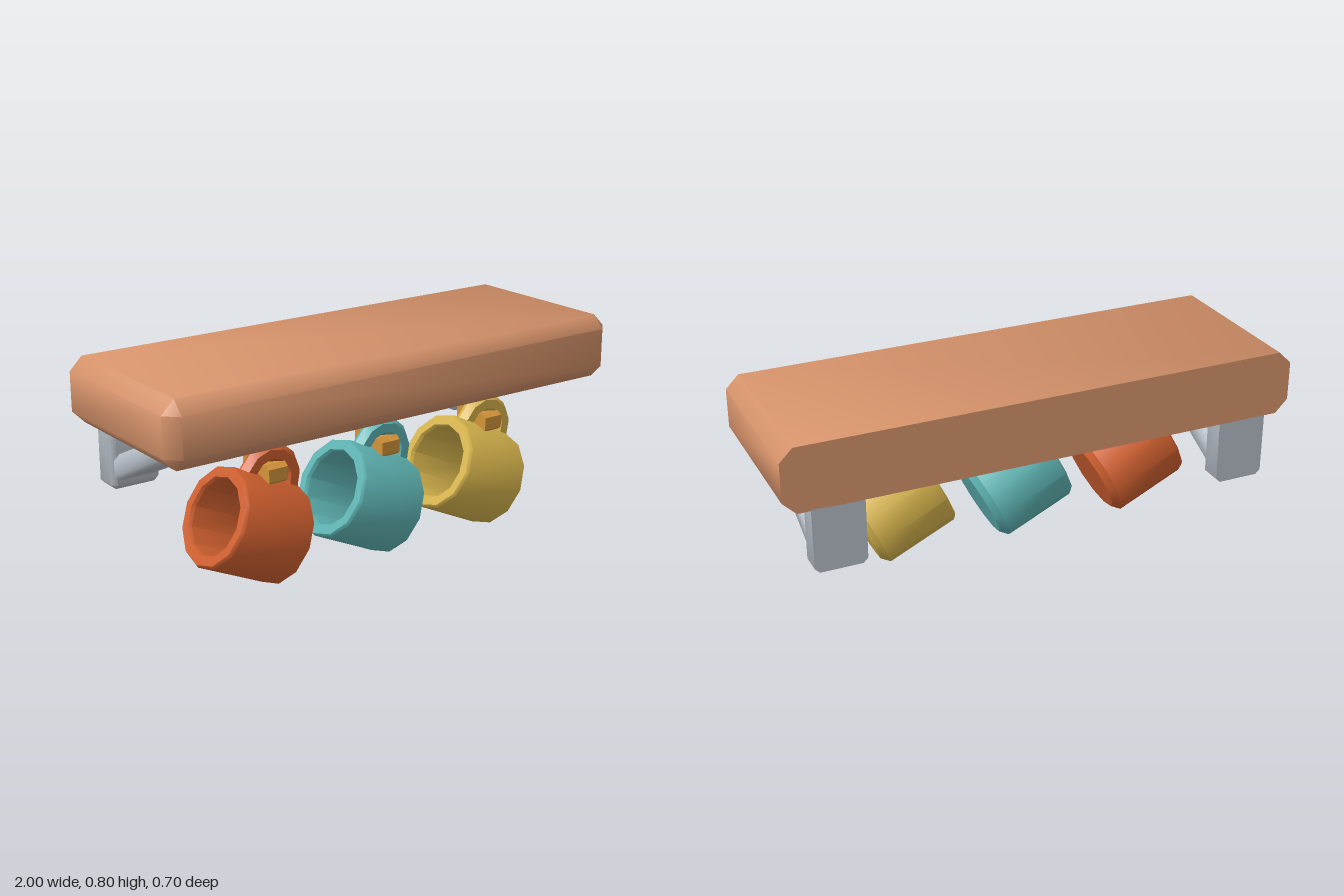
import * as THREE from 'three';
import { toCreasedNormals } from 'three/addons/utils/BufferGeometryUtils.js';
import { ConvexGeometry } from 'three/addons/geometries/ConvexGeometry.js';

const paint = (name, color) => {
  const m = new THREE.MeshStandardMaterial({ color });
  m.name = name;
  return m;
};

function addMesh(parent, name, geometry, material) {
  const mesh = new THREE.Mesh(geometry, material);
  mesh.name = name;
  parent.add(mesh);
  return mesh;
}

// Box with bevelled edges; sides listed in flush (such as '-z') stay square
function chamferBox(min, max, c, flush) {
  const points = [];
  for (let corner = 0; corner < 8; corner++) {
    for (let full = 0; full < 3; full++) {
      const p = [0, 1, 2].map((k) => {
        const high = (corner >> k) & 1;
        const square = k === full || flush.includes((high ? '+' : '-') + 'xyz'[k]);
        const inset = square ? 0 : c;
        return high ? max[k] - inset : min[k] + inset;
      });
      points.push(new THREE.Vector3(...p));
    }
  }
  return toCreasedNormals(new ConvexGeometry(points), 0.9);
}

// Hook profile in the z-y plane, extruded across x
function hookGeometry() {
  const width = 0.08;
  const profile = [
    [0.06, 0.57], [0.06, 0.387], [0.075, 0.376], [0.215, 0.39], [0.23, 0.402],
    [0.23, 0.45], [0.21, 0.465], [0.19, 0.457], [0.13, 0.447], [0.13, 0.57],
  ].map(([z, y]) => new THREE.Vector2(z, y));
  const g = new THREE.ExtrudeGeometry(new THREE.Shape(profile), { depth: width, bevelEnabled: false });
  g.rotateY(-Math.PI / 2);
  g.translate(width / 2, 0, 0);
  return g;
}

// Hollow twelve-sided cup, base rim at y = 0
function cupGeometry() {
  const profile = [
    [0, -0.027], [0.156, -0.027], [0.188, 0], [0.188, 0.292], [0.18, 0.303],
    [0.148, 0.303], [0.14, 0.29], [0.14, 0.03], [0, 0.03],
  ].map(([r, y]) => new THREE.Vector2(r, y));
  return toCreasedNormals(new THREE.LatheGeometry(profile, 12), 0.65);
}

// Half ring with a hexagonal section on the cup's side
function handleGeometry() {
  const g = new THREE.TorusGeometry(0.095, 0.035, 6, 6, Math.PI);
  g.rotateZ(-Math.PI / 2);
  g.translate(0.187, 0.132, 0);
  return toCreasedNormals(g, 0.65);
}

export function createModel() {
  const model = new THREE.Group();
  model.name = 'mugShelf';

  const wood = paint('wood', 0xd5926a);
  const metal = paint('grey metal', 0xb4bcc4);
  const brass = paint('brass', 0xd4943a);
  const glazes = [
    paint('orange glaze', 0xd0602f),
    paint('teal glaze', 0x5fb4b4),
    paint('yellow glaze', 0xd6b44c),
  ];

  // Shelf board, square at the wall side
  addMesh(model, 'shelfBoard',
    chamferBox([-1, 0.555, -0.35], [1, 0.805, 0.35], 0.05, ['-z']), wood);

  // Brackets: wall plate and sloping brace
  for (const side of [-1, 1]) {
    const bracket = new THREE.Group();
    bracket.name = side > 0 ? 'leftBracket' : 'rightBracket';
    bracket.position.x = side * 0.803;
    addMesh(bracket, 'wallPlate',
      chamferBox([-0.098, 0.307, -0.35], [0.098, 0.56, -0.25], 0.018, ['-z', '+y']), metal);
    const brace = addMesh(bracket, 'brace',
      chamferBox([-0.088, -0.045, -0.29], [0.088, 0.045, 0.29], 0.018, ['-z', '+z']), metal);
    brace.position.set(0, 0.491, -0.044);
    brace.rotation.x = -0.437;
    model.add(bracket);
  }

  // Three hooks, each with a tilted mug hanging by its handle
  const hook = hookGeometry();
  const cup = cupGeometry();
  const handle = handleGeometry();
  glazes.forEach((glaze, i) => {
    const x = (i - 1) * 0.5;
    addMesh(model, 'hook', hook, brass).position.x = x;
    const mug = new THREE.Group();
    mug.name = 'mug';
    mug.position.set(x + 0.044, 0.171, 0.162);
    mug.rotation.z = THREE.MathUtils.degToRad(65);
    addMesh(mug, 'cup', cup, glaze);
    addMesh(mug, 'handle', handle, glaze);
    model.add(mug);
  });

  return model;
}
